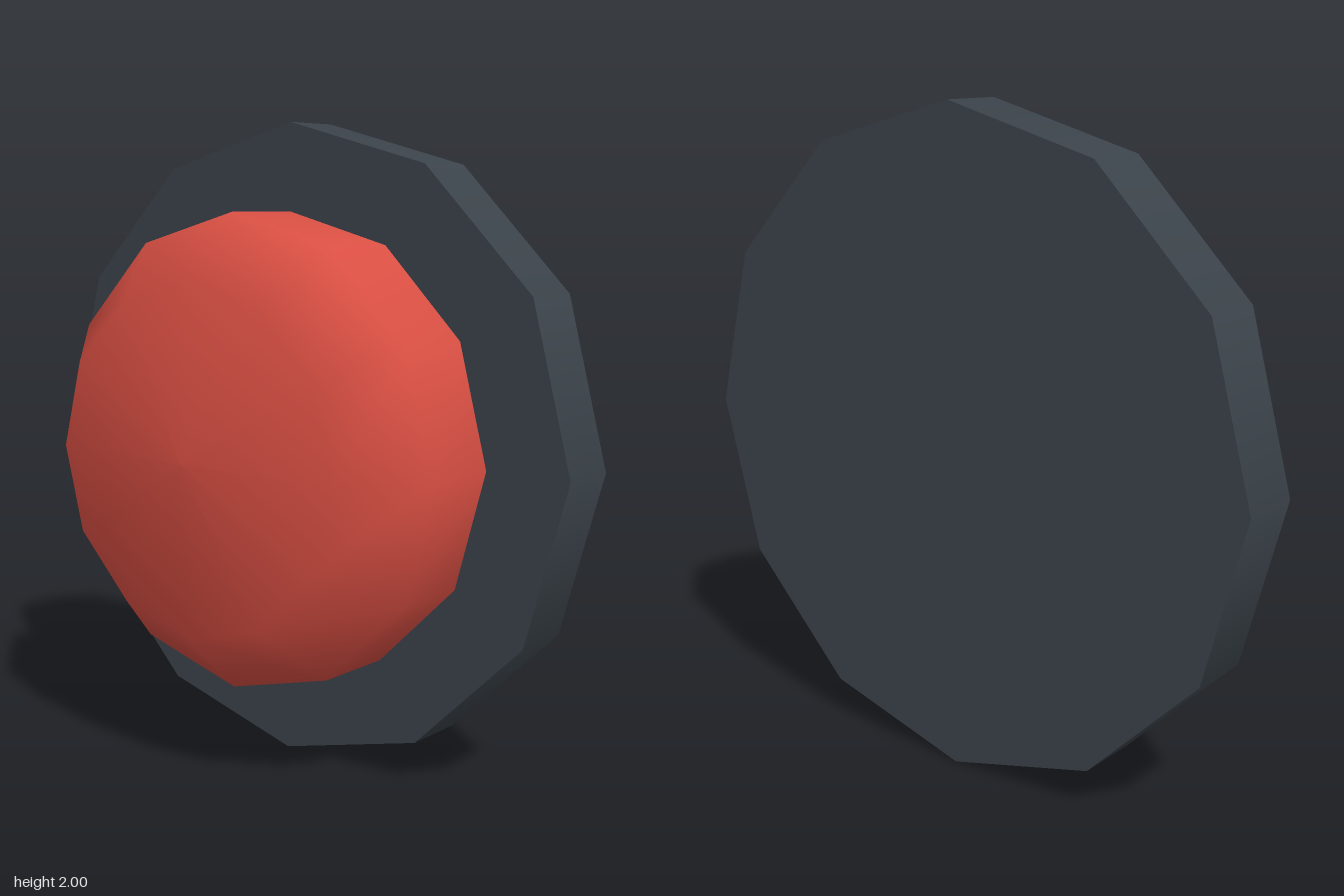
import * as THREE from 'three';

const SIDES = 12;

export function createModel() {
  const model = new THREE.Group();
  model.name = 'pushButton';

  const darkGrey = new THREE.MeshStandardMaterial({ color: 0x3b434a });
  darkGrey.name = 'dark grey';
  const red = new THREE.MeshStandardMaterial({ color: 0xd94f43 });
  red.name = 'red';

  // Adds a part whose round axis is turned from y to face +z
  const addPart = (name, geometry, material, z) => {
    geometry.rotateX(Math.PI / 2);
    const mesh = new THREE.Mesh(geometry, material);
    mesh.name = name;
    mesh.position.set(0, 1, z);
    model.add(mesh);
  };

  // Twelve-sided mounting plate
  addPart('backPlate', new THREE.CylinderGeometry(1, 1, 0.2, SIDES), darkGrey, -0.247);

  // Button cap: straight wall, bevelled shoulder and shallow domed face
  const profile = [
    [0.73, -0.15],
    [0.73, 0.117],
    [0.534, 0.316],
    [0, 0.347],
  ].map(([r, h]) => new THREE.Vector2(r, h));
  addPart('buttonCap', new THREE.LatheGeometry(profile, SIDES), red, 0);

  return model;
}
